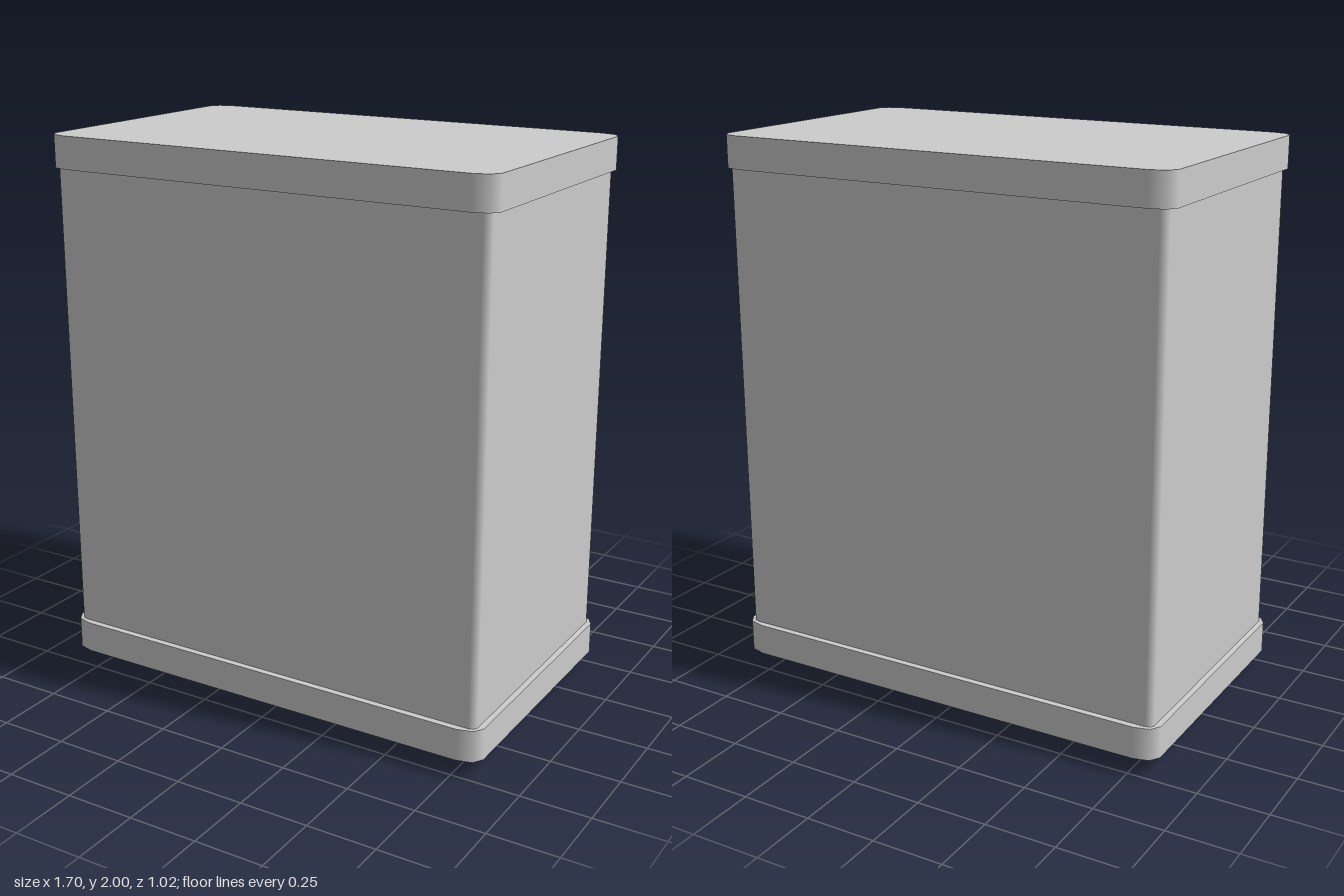
import * as THREE from 'three';

const grey = new THREE.MeshStandardMaterial({ color: 0xcccccc });
const sheet = new THREE.MeshStandardMaterial({ color: 0xcccccc, side: THREE.DoubleSide });

// Upright slab with elliptical corners, smooth round the corners and flat on the walls
function roundedSlab(name, hx, hz, rx, rz, y0, y1) {
  const steps = 2, points = [];
  const signs = [[1, 1], [-1, 1], [-1, -1], [1, -1]];
  signs.forEach(([sx, sz], quarter) => {
    for (let i = 0; i <= steps; i++) {
      const a = (quarter + i / steps) * Math.PI / 2;
      points.push(new THREE.Vector2(
        sx * (hx - rx) + rx * Math.cos(a),
        sz * (hz - rz) + rz * Math.sin(a)));
    }
  });
  const geometry = new THREE.ExtrudeGeometry(new THREE.Shape(points), { depth: y1 - y0, bevelEnabled: false });
  geometry.rotateX(-Math.PI / 2);
  geometry.translate(0, y0, 0);

  // Corner normals follow the ellipse
  const pos = geometry.attributes.position, nor = geometry.attributes.normal;
  const n = new THREE.Vector3();
  for (let i = 0; i < pos.count; i++) {
    if (Math.abs(nor.getY(i)) > 0.5) continue;
    const x = pos.getX(i), z = pos.getZ(i);
    n.set(
      Math.sign(x) * Math.max(Math.abs(x) - hx + rx, 0) / (rx * rx), 0,
      Math.sign(z) * Math.max(Math.abs(z) - hz + rz, 0) / (rz * rz)).normalize();
    nor.setXYZ(i, n.x, n.y, n.z);
  }
  const mesh = new THREE.Mesh(geometry, grey);
  mesh.name = name;
  return mesh;
}

// Open rectangular skirt of thin sheet under the base
function makeSkirt(hx, hz, height) {
  const skirt = new THREE.Group();
  skirt.name = 'baseSkirt';
  for (let i = 0; i < 4; i++) {
    const alongX = i % 2 === 0;
    const wall = new THREE.Mesh(new THREE.PlaneGeometry(2 * (alongX ? hx : hz), height), sheet);
    const a = i * Math.PI / 2;
    wall.rotation.y = a;
    wall.position.set(Math.sin(a) * hx, height / 2, Math.cos(a) * hz);
    wall.name = 'skirtWall';
    skirt.add(wall);
  }
  return skirt;
}

export function createModel() {
  const model = new THREE.Group();
  model.name = 'cabinet';
  model.add(
    roundedSlab('body', 0.827, 0.485, 0.025, 0.02, 0.18, 1.885),
    roundedSlab('topCap', 0.848, 0.508, 0.077, 0.05, 1.885, 2),
    roundedSlab('bottomCap', 0.848, 0.508, 0.077, 0.05, 0.065, 0.18),
    makeSkirt(0.592, 0.355, 0.065));
  return model;
}
